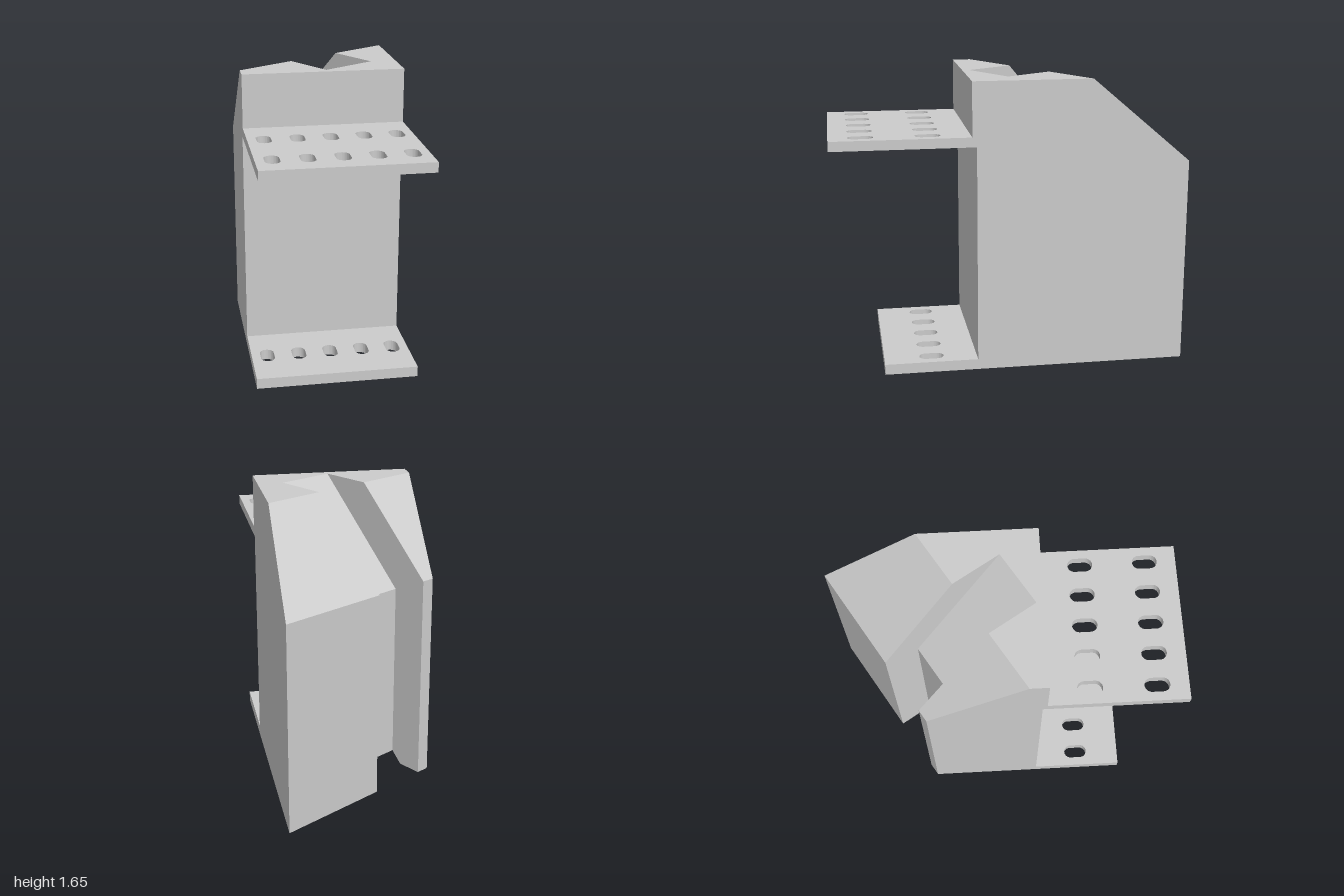
import * as THREE from 'three';
import { toCreasedNormals } from 'three/addons/utils/BufferGeometryUtils.js';

const HALF = 0.455, TOP = 1.655, CHAMFER_Y = 1.18, CHAMFER = 0.475;
const FRONT = 0.2, UPPER_FRONT = 0.225, SHELF_Y = 1.295;
const ANGLE = THREE.MathUtils.degToRad(31.7);
const SIN = Math.sin(ANGLE), COS = Math.cos(ANGLE);

const p = (x, y, z) => new THREE.Vector3(x, y, z);

// Point in the skewed back frame: s along the back wall, w into the body
const at = (s, w, y) => p(HALF - s * COS + w * SIN, y, -1 + s * SIN + w * COS);

// Point on a side wall, w into the body from the skewed back wall
const side = (sign, w, y) =>
  p(sign * HALF, y, -1 + (HALF - sign * HALF) * (SIN / COS) + w / COS);

// Triangulates a flat polygon so that it faces along the outward vector
function addFace(out, loop, outward) {
  const n = outward.clone().normalize();
  const u = loop[1].clone().sub(loop[0]).normalize();
  const v = n.clone().cross(u);
  const flat = loop.map((q) => new THREE.Vector2(q.dot(u), q.dot(v)));
  for (const [a, b, c] of THREE.ShapeUtils.triangulateShape(flat, [])) {
    const turn = flat[b].clone().sub(flat[a]).cross(flat[c].clone().sub(flat[a]));
    const order = turn > 0 ? [a, b, c] : [a, c, b];
    for (const i of order) out.push(loop[i].x, loop[i].y, loop[i].z);
  }
}

function bodyGeometry() {
  const out = [];
  const face = (outward, ...loop) => addFace(out, loop, outward);
  const up = p(0, 1, 0), down = p(0, -1, 0), front = p(0, 0, 1);
  const back = p(-SIN, 0, -COS), along = p(-COS, 0, SIN);
  const slopeUp = back.clone().add(up), slopeDown = back.clone().add(down);
  const slot = [0.652, 0.993];

  // Slot floor profile as [depth, height]: lip, upright wall, ramp
  const floor = [[0.145, 0], [0.21, 0.065], [0.21, 1.085], [0.78, TOP]];

  // Top and bottom, notched by the slot
  const notched = (outward, y, z, w, depth) => face(outward,
    p(HALF, y, z), side(1, w, y), at(slot[0], w, y), at(slot[0], depth, y),
    at(slot[1], depth, y), at(slot[1], w, y), side(-1, w, y), p(-HALF, y, z));
  notched(up, TOP, UPPER_FRONT, CHAMFER, floor[3][0]);
  notched(down, 0, FRONT, 0, floor[0][0]);

  [1, -1].forEach((sign, i) => {
    const s = slot[i];
    // Skewed back wall and its chamfer beside the slot
    face(back, side(sign, 0, 0), side(sign, 0, CHAMFER_Y), at(s, 0, CHAMFER_Y), at(s, 0, 0));
    face(slopeUp, side(sign, 0, CHAMFER_Y), side(sign, CHAMFER, TOP),
      at(s, CHAMFER, TOP), at(s, 0, CHAMFER_Y));
    // Slot cheek
    face(along.clone().multiplyScalar(sign),
      at(s, 0, 0), at(s, 0, CHAMFER_Y), at(s, CHAMFER, TOP),
      ...floor.slice().reverse().map(([w, y]) => at(s, w, y)));
    // Outer side wall
    face(p(sign, 0, 0), side(sign, 0, 0), side(sign, 0, CHAMFER_Y), side(sign, CHAMFER, TOP),
      p(sign * HALF, TOP, UPPER_FRONT), p(sign * HALF, SHELF_Y, UPPER_FRONT),
      p(sign * HALF, SHELF_Y, FRONT), p(sign * HALF, 0, FRONT));
  });

  // Slot floor
  [slopeDown, back, slopeUp].forEach((outward, i) => {
    const [w0, y0] = floor[i], [w1, y1] = floor[i + 1];
    face(outward, at(slot[0], w0, y0), at(slot[1], w0, y0),
      at(slot[1], w1, y1), at(slot[0], w1, y1));
  });

  // Front wall with the small step under the shelf
  const strip = (outward, y0, z0, y1, z1) => face(outward,
    p(-HALF, y0, z0), p(HALF, y0, z0), p(HALF, y1, z1), p(-HALF, y1, z1));
  strip(front, 0, FRONT, SHELF_Y, FRONT);
  strip(down, SHELF_Y, FRONT, SHELF_Y, UPPER_FRONT);
  strip(front, SHELF_Y, UPPER_FRONT, TOP, UPPER_FRONT);

  const geometry = new THREE.BufferGeometry();
  geometry.setAttribute('position', new THREE.Float32BufferAttribute(out, 3));
  geometry.computeVertexNormals();
  return geometry;
}

// Flat plate with rows of five slotted holes
function plateGeometry(z0, z1, thickness, rows) {
  const shape = new THREE.Shape([[-HALF, -z1], [HALF, -z1], [HALF, -z0], [-HALF, -z0]]
    .map(([x, y]) => new THREE.Vector2(x, y)));
  const r = 0.04, straight = 0.03;
  for (const z of rows) {
    for (let i = -2; i <= 2; i++) {
      const x = i * 0.1825;
      const hole = new THREE.Path();
      hole.absarc(x, -z + straight, r, 0, Math.PI);
      hole.absarc(x, -z - straight, r, Math.PI, Math.PI * 2);
      hole.closePath();
      shape.holes.push(hole);
    }
  }
  const geometry = new THREE.ExtrudeGeometry(shape,
    { depth: thickness, bevelEnabled: false, curveSegments: 12 });
  geometry.rotateX(-Math.PI / 2);
  return toCreasedNormals(geometry, Math.PI / 5);
}

export function createModel() {
  const group = new THREE.Group();
  group.name = 'slottedBracket';
  const material = new THREE.MeshStandardMaterial({ color: 0xcccccc });
  const add = (name, geometry, y = 0) => {
    const mesh = new THREE.Mesh(geometry, material);
    mesh.name = name;
    mesh.position.y = y;
    group.add(mesh);
  };
  add('body', bodyGeometry());
  add('basePlate', plateGeometry(FRONT, 0.73, 0.06, [0.46]));
  add('upperShelf', plateGeometry(UPPER_FRONT, 1, 0.055, [0.46, 0.825]), SHELF_Y);
  return group;
}
